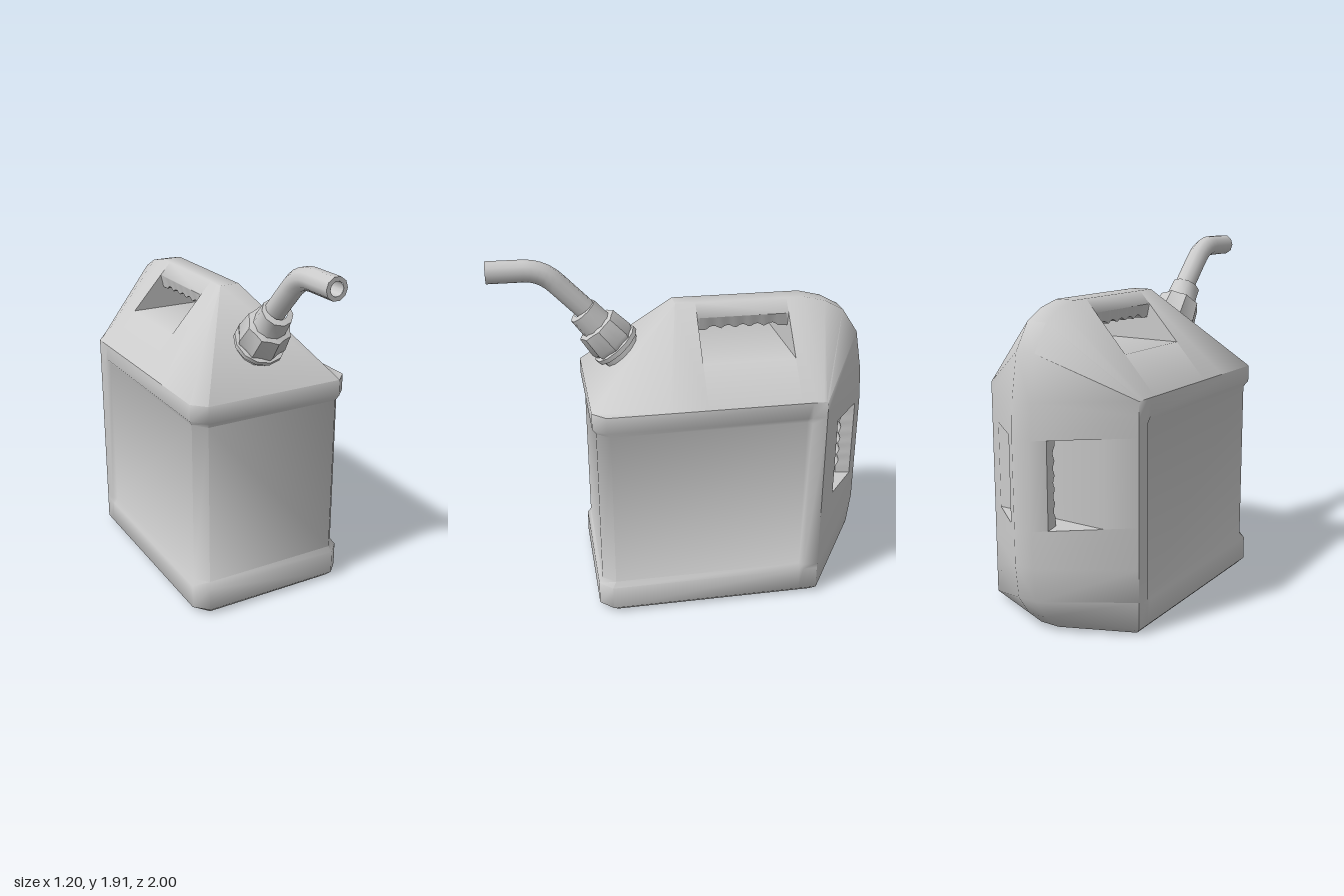
import * as THREE from 'three';
import { toCreasedNormals } from 'three/addons/utils/BufferGeometryUtils.js';

const grey = new THREE.MeshStandardMaterial({ color: 0xcccccc });
const greyDouble = new THREE.MeshStandardMaterial({ color: 0xcccccc, side: THREE.DoubleSide });
const V = (x, y, z) => new THREE.Vector3(x, y, z);
const flip = (p) => V(-p.x, p.y, p.z);

const HALF = 0.458;   // half width of the can
const RIDGE = 0.055;  // half width of the ridge that runs over the top and down the back

// Collects polygons, optionally mirrored across the middle plane
class Faces {
  constructor() { this.pos = []; }
  add(...p) {
    for (let i = 1; i < p.length - 1; i++)
      for (const q of [p[0], p[i], p[i + 1]]) this.pos.push(q.x, q.y, q.z);
  }
  both(...p) {
    this.add(...p);
    this.add(...p.map(flip).reverse());
  }
  // face spanning the two sides between points a and b of the +x side
  across(a, b) { this.add(a, b, flip(b), flip(a)); }
  geometry(crease) {
    const g = new THREE.BufferGeometry();
    g.setAttribute('position', new THREE.Float32BufferAttribute(this.pos, 3));
    return toCreasedNormals(g, crease);
  }
}

// Height levels of the side walls: [y, inset]; the label panel is set in
const rows = [[0, 0.03], [0.03, 0], [0.16, 0], [0.19, 0.02], [1.08, 0.02], [1.11, 0], [1.2, 0]];

// Loop around the can: each column joins a ridge point r to a side point o
function makeColumns() {
  const cols = rows.map(([y, d]) => ({
    r: V(0.39 - d * 0.5, y, 0.55 - d), o: V(HALF - d, y, 0.48 - d),
  }));
  // ridge z, ridge y, side z, side y, handle opening after this column
  const path = [
    [0.06, 1.65, 0.15, 1.2], [-0.05, 1.65, -0.05, 1.2, 'top'], [-0.55, 1.65, -0.55, 1.2],
    [-0.645, 1.65, -0.63, 1.2], [-0.77, 1.62, -0.665, 1.2], [-0.875, 1.565, -0.68, 1.2],
    [-0.965, 1.43, -0.69, 1.2], [-1.005, 1.2, -0.69, 1.13], [-1.015, 1.02, -0.69, 1.02, 'back'],
    [-1.015, 0.57, -0.69, 0.57], [-1.015, 0.38, -0.69, 0.35], [-0.995, 0.2, -0.69, 0.18],
    [-0.92, 0.09, -0.69, 0.03],
  ];
  for (const [rz, ry, oz, oy, hole] of path)
    cols.push({ r: V(RIDGE, ry, rz), o: V(HALF, oy, oz), hole });
  cols.push({ r: V(RIDGE, 0, -0.82), o: V(HALF - 0.03, 0, -0.66) });
  return cols;
}

// Hand hole with a scalloped grip, cut through the slope between columns a and b
function addHandle(f, a, b, sEdge, sGrip, sFloor) {
  const at = (t, s, x) => {
    const p = a.r.clone().lerp(b.r, t).lerp(a.o.clone().lerp(b.o, t), s);
    if (x !== undefined) p.x = x;
    return p;
  };
  const edge = (t) => at(t, sEdge), floor = (t) => at(t, sFloor);
  const grip = (t) => {
    const k = THREE.MathUtils.clamp((t - 0.1) / 0.8, 0, 1);
    return at(t, sGrip - 0.045 * Math.abs(Math.sin(k * Math.PI * 5)), 0.1);
  };
  f.both(a.r, edge(0), edge(1), b.r);
  f.both(floor(0), a.o, b.o, floor(1));
  const n = 30;
  for (let i = 0; i < n; i++) {
    const t = i / n, u = (i + 1) / n;
    f.both(edge(t), grip(t), grip(u), edge(u));
    f.across(grip(u), grip(t));
  }
  f.across(floor(0), floor(1));
  // end walls
  f.add(floor(0), flip(floor(0)), flip(grip(0)), grip(0));
  f.both(edge(0), floor(0), grip(0));
  f.add(grip(1), flip(grip(1)), flip(floor(1)), floor(1));
  f.both(grip(1), floor(1), edge(1));
}

function makeBody() {
  const f = new Faces();
  const cols = makeColumns();
  cols.forEach((a, i) => {
    const b = cols[(i + 1) % cols.length];
    f.across(a.r, b.r);
    if (a.hole === 'top') addHandle(f, a, b, 0.15, 0.31, 0.578);
    else if (a.hole === 'back') addHandle(f, a, b, 0.15, 0.4, 0.67);
    else f.both(a.r, a.o, b.o, b.r);
  });
  // side walls with the inset label panel
  const wall = ([y, d]) => {
    const foot = y === 0 ? d : 0;
    return [V(HALF - d, y, 0.48 - d), V(HALF - d, y, -0.585),
      V(HALF - foot, y, -0.61), V(HALF - foot, y, -0.69 + foot)];
  };
  for (let i = 0; i < rows.length - 1; i++) {
    const lo = wall(rows[i]), hi = wall(rows[i + 1]);
    for (let j = 0; j < 3; j++) f.both(lo[j], lo[j + 1], hi[j + 1], hi[j]);
  }
  return f.geometry(1.0);
}

function mesh(name, geometry, material = grey) {
  const m = new THREE.Mesh(geometry, material);
  m.name = name;
  return m;
}

const lathe = (pts, seg) => new THREE.LatheGeometry(pts.map((p) => new THREE.Vector2(...p)), seg);

function makeSpout() {
  const spout = new THREE.Group();
  spout.name = 'spout';

  // screw collar and nozzle socket, standing on the front slope
  const neck = new THREE.Group();
  neck.name = 'neck';
  neck.position.set(0, 1.385, 0.345);
  neck.rotation.x = 0.7;
  neck.add(mesh('neckRing', toCreasedNormals(lathe(
    [[0.115, -0.03], [0.115, 0.03], [0.138, 0.035], [0.138, 0.06], [0.1, 0.065]], 12), 0.7)));
  const collar = lathe([[0.122, 0.06], [0.13, 0.085], [0.116, 0.2], [0.08, 0.21]], 16);
  const p = collar.attributes.position;
  for (let i = 0; i < p.count; i++) {
    const lobe = Math.round(Math.atan2(p.getX(i), p.getZ(i)) / (Math.PI / 8));
    const k = lobe % 2 ? 0.92 : 1.03;
    p.setXYZ(i, p.getX(i) * k, p.getY(i), p.getZ(i) * k);
  }
  neck.add(mesh('collar', toCreasedNormals(collar, 0.7)));
  neck.add(mesh('socket', toCreasedNormals(lathe(
    [[0.09, 0.2], [0.083, 0.31], [0.05, 0.315]], 10), 0.7)));
  spout.add(neck);

  // bent pouring tube with an open tip
  const curve = new THREE.CurvePath();
  const a = V(0, 1.61, 0.51), b = V(0, 1.78, 0.675), c = V(0, 1.853, 0.745);
  const d = V(0, 1.853, 0.84), tip = V(0, 1.853, 1.03);
  curve.add(new THREE.LineCurve3(a, b));
  curve.add(new THREE.QuadraticBezierCurve3(b, c, d));
  curve.add(new THREE.LineCurve3(d, tip));
  spout.add(mesh('tube', new THREE.TubeGeometry(curve, 16, 0.058, 10)));
  const rim = mesh('tubeRim', new THREE.RingGeometry(0.036, 0.058, 10));
  rim.position.copy(tip);
  const bore = mesh('tubeBore', new THREE.TubeGeometry(
    new THREE.LineCurve3(d, tip), 1, 0.036, 10), greyDouble);
  spout.add(rim, bore);
  return spout;
}

export function createModel() {
  const can = new THREE.Group();
  can.name = 'fuelCan';
  can.add(mesh('body', makeBody()), makeSpout());
  can.rotation.y = -0.274;
  can.position.set(-0.029, 0, -0.008);
  const model = new THREE.Group();
  model.name = 'model';
  model.add(can);
  return model;
}
